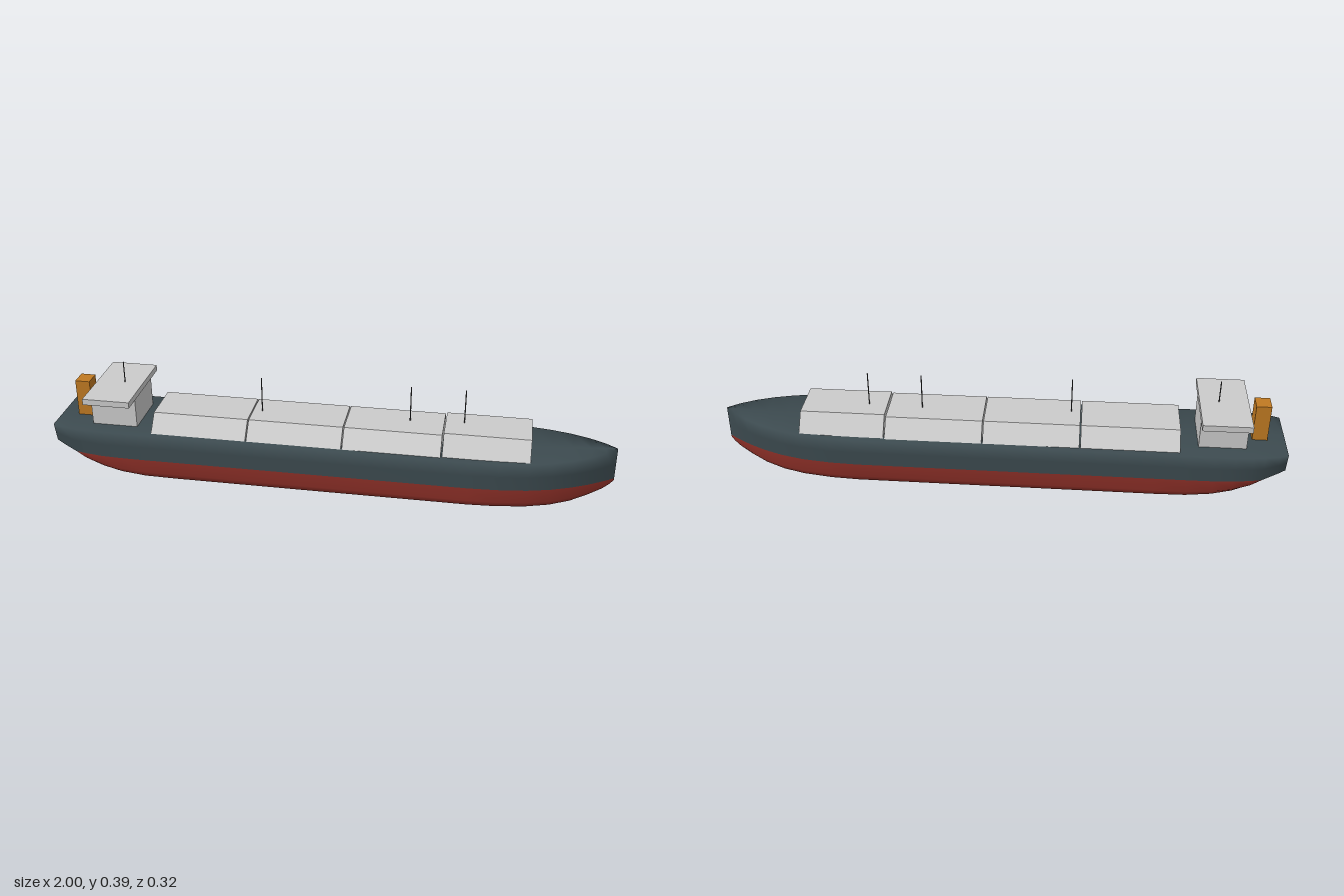
import * as THREE from 'three';

const mat = (color, side = THREE.FrontSide) => new THREE.MeshStandardMaterial({ color, side });
const grey = mat(0xcccccc);
const dark = mat(0x3c4a4f, THREE.DoubleSide);
const red = mat(0x8c2f27, THREE.DoubleSide);
const orange = mat(0xc07a22);
const mastMat = mat(0x4a4a4a);

// Hull stations: x, deck half-width, waterline half-width, flat-bottom half-width, keel y, deck y
const stations = [
  [-1.00, 0.122, 0.105, 0.080, 0.107, 0.18],
  [-0.97, 0.135, 0.118, 0.090, 0.098, 0.18],
  [-0.92, 0.146, 0.132, 0.095, 0.080, 0.18],
  [-0.88, 0.150, 0.141, 0.096, 0.050, 0.18],
  [-0.82, 0.154, 0.150, 0.100, 0.026, 0.18],
  [-0.75, 0.155, 0.154, 0.110, 0.010, 0.18],
  [-0.66, 0.155, 0.155, 0.120, 0.001, 0.18],
  [-0.55, 0.155, 0.155, 0.125, 0.000, 0.18],
  [0.00, 0.155, 0.155, 0.125, 0.000, 0.18],
  [0.50, 0.155, 0.155, 0.123, 0.000, 0.18],
  [0.60, 0.151, 0.150, 0.115, 0.000, 0.181],
  [0.70, 0.140, 0.137, 0.098, 0.001, 0.183],
  [0.78, 0.122, 0.117, 0.075, 0.004, 0.186],
  [0.85, 0.098, 0.090, 0.050, 0.012, 0.189],
  [0.91, 0.069, 0.060, 0.028, 0.028, 0.192],
  [0.96, 0.036, 0.029, 0.012, 0.044, 0.195],
  [0.985, 0.015, 0.012, 0.005, 0.058, 0.196],
  [1.00, 0.001, 0.001, 0.000, 0.072, 0.197],
];
const waterY = (s) => Math.max(0.08, s[4]);

// Smooth surface through rows of [x, y, z] points
function loft(rows) {
  const n = rows[0].length, index = [];
  for (let i = 0; i < rows.length - 1; i++)
    for (let j = 0; j < n - 1; j++) {
      const a = i * n + j, b = a + n;
      index.push(a, b, a + 1, b, b + 1, a + 1);
    }
  const g = new THREE.BufferGeometry();
  g.setAttribute('position', new THREE.Float32BufferAttribute(rows.flat(2), 3));
  g.setIndex(index);
  g.computeVertexNormals();
  return g;
}

// Mirrors a half section [z, y] (from +z edge to centre) into a full row at x
function row(x, half, sign = 1) {
  const other = half.slice(0, -1).reverse().map(([z, y]) => [-z, y]);
  return [...half, ...other].map(([z, y]) => [x, y, z * sign]);
}

export function createModel() {
  const model = new THREE.Group();
  const add = (name, geometry, material, x = 0, y = 0, z = 0) => {
    const m = new THREE.Mesh(geometry, material);
    m.name = name;
    m.position.set(x, y, z);
    model.add(m);
    return m;
  };
  const box = (name, material, x0, x1, y0, y1, halfZ) =>
    add(name, new THREE.BoxGeometry(x1 - x0, y1 - y0, halfZ * 2), material, (x0 + x1) / 2, (y0 + y1) / 2);

  // Upper hull sides and deck
  add('upperHull', loft(stations.map((s) => {
    const [x, d, w, , , top] = s, wl = waterY(s);
    return row(x, [[w, wl], [(w + d) / 2, (wl + top) / 2], [d, top], [0, top]]);
  })), dark);

  // Underwater hull, from one waterline under the keel to the other
  add('lowerHull', loft(stations.slice(2).map((s) => {
    const [x, , w, b, k] = s, h = waterY(s) - k;
    return row(x, [[w, k + h], [w, k + h * 0.38], [b + (w - b) * 0.72, k + h * 0.12], [b, k], [0, k]], -1);
  })), red);

  // Overhanging stern underside and flat transom
  add('sternCounter', loft(stations.slice(0, 3).map((s) => row(s[0], [[s[2], waterY(s)], [0, waterY(s)]], -1))), dark);
  const [sx, sd, sw, , sk, sTop] = stations[0];
  add('transom', loft([row(sx, [[sw, sk], [0, sk]]), row(sx, [[sd, sTop], [0, sTop]])]), dark);

  // Row of sloped cargo tank covers
  const covers = [
    [-0.63, -0.287, 0.137, 0.083, 0.24],
    [-0.283, 0.054, 0.137, 0.083, 0.24],
    [0.058, 0.400, 0.137, 0.083, 0.24],
    [0.405, 0.705, 0.132, 0.079, 0.246],
  ];
  covers.forEach(([x0, x1, base, top, y], i) => {
    const shape = new THREE.Shape([[-base, 0.178], [base, 0.178], [top, y], [-top, y]]
      .map(([z, h]) => new THREE.Vector2(z, h)));
    const g = new THREE.ExtrudeGeometry(shape, { depth: x1 - x0, bevelEnabled: false });
    g.rotateY(Math.PI / 2);
    add(`tankCover${i + 1}`, g, grey, x0);
  });

  // Deckhouse, bridge and funnel
  box('deckhouse', grey, -0.86, -0.695, 0.175, 0.29, 0.092);
  box('bridge', grey, -0.863, -0.693, 0.288, 0.31, 0.16);
  box('funnel', orange, -0.938, -0.885, 0.175, 0.315, 0.031);

  // Thin masts: x, z, base y, top y
  const masts = [
    [-0.76, 0, 0.30, 0.39],
    [-0.25, 0.007, 0.235, 0.37],
    [0.28, -0.008, 0.235, 0.37],
    [0.47, -0.011, 0.24, 0.371],
  ];
  masts.forEach(([x, z, y0, y1], i) =>
    add(`mast${i + 1}`, new THREE.CylinderGeometry(0.002, 0.002, y1 - y0, 8), mastMat, x, (y0 + y1) / 2, z));

  return model;
}
